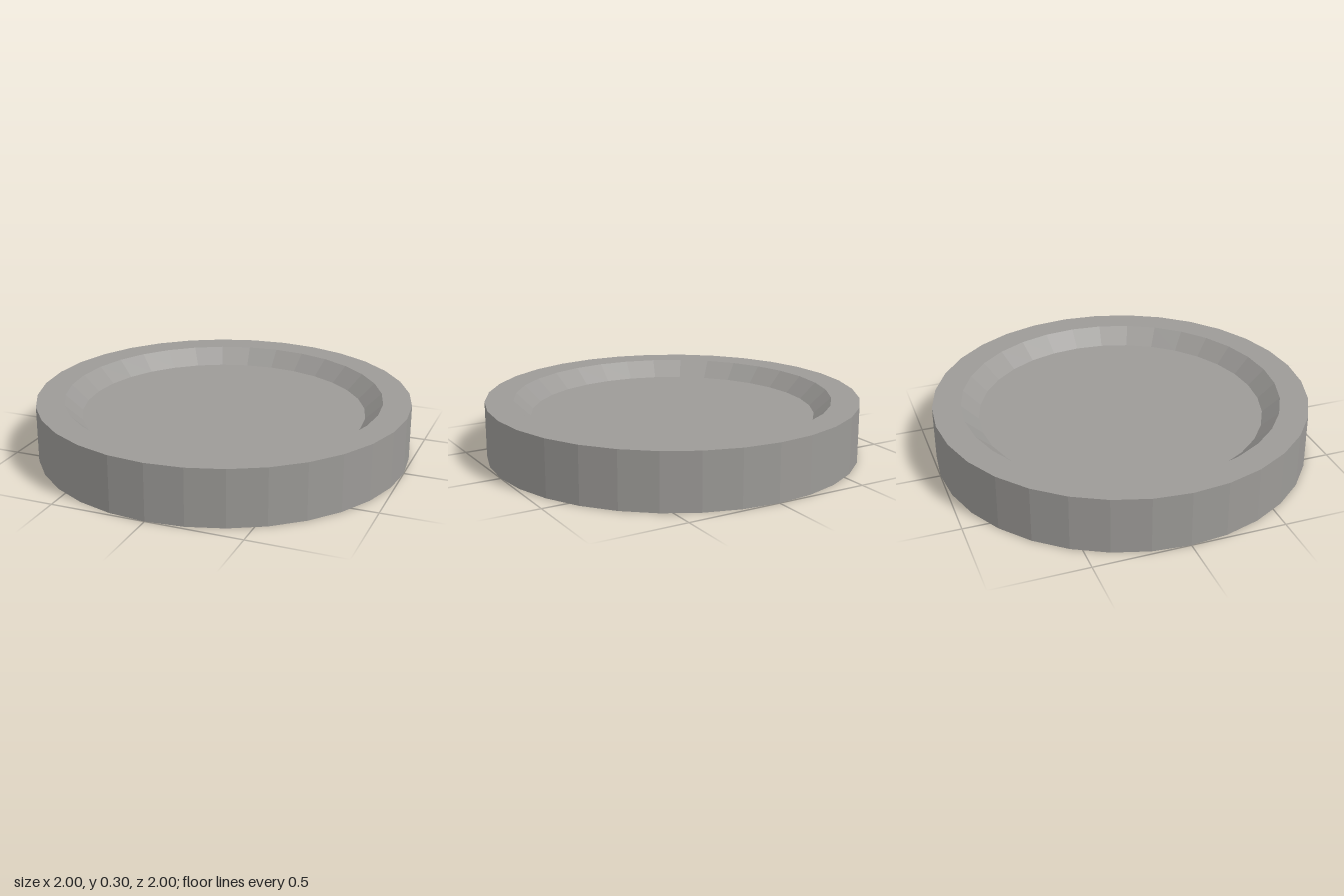
import * as THREE from 'three';

export function createModel() {
  const group = new THREE.Group();
  group.name = 'shallowDish';

  const stone = new THREE.MeshStandardMaterial({ color: 0x9c9a97, flatShading: true });
  stone.name = 'warm grey';

  // Closed profile: base, outer wall, flat rim, sloped inner wall, recessed floor
  const profile = [
    [0, 0], [1, 0], [1, 0.3], [0.85, 0.3], [0.76, 0.215], [0, 0.215],
  ].map(([r, y]) => new THREE.Vector2(r, y));

  const dish = new THREE.Mesh(new THREE.LatheGeometry(profile, 32), stone);
  dish.name = 'dish';
  group.add(dish);

  return group;
}
